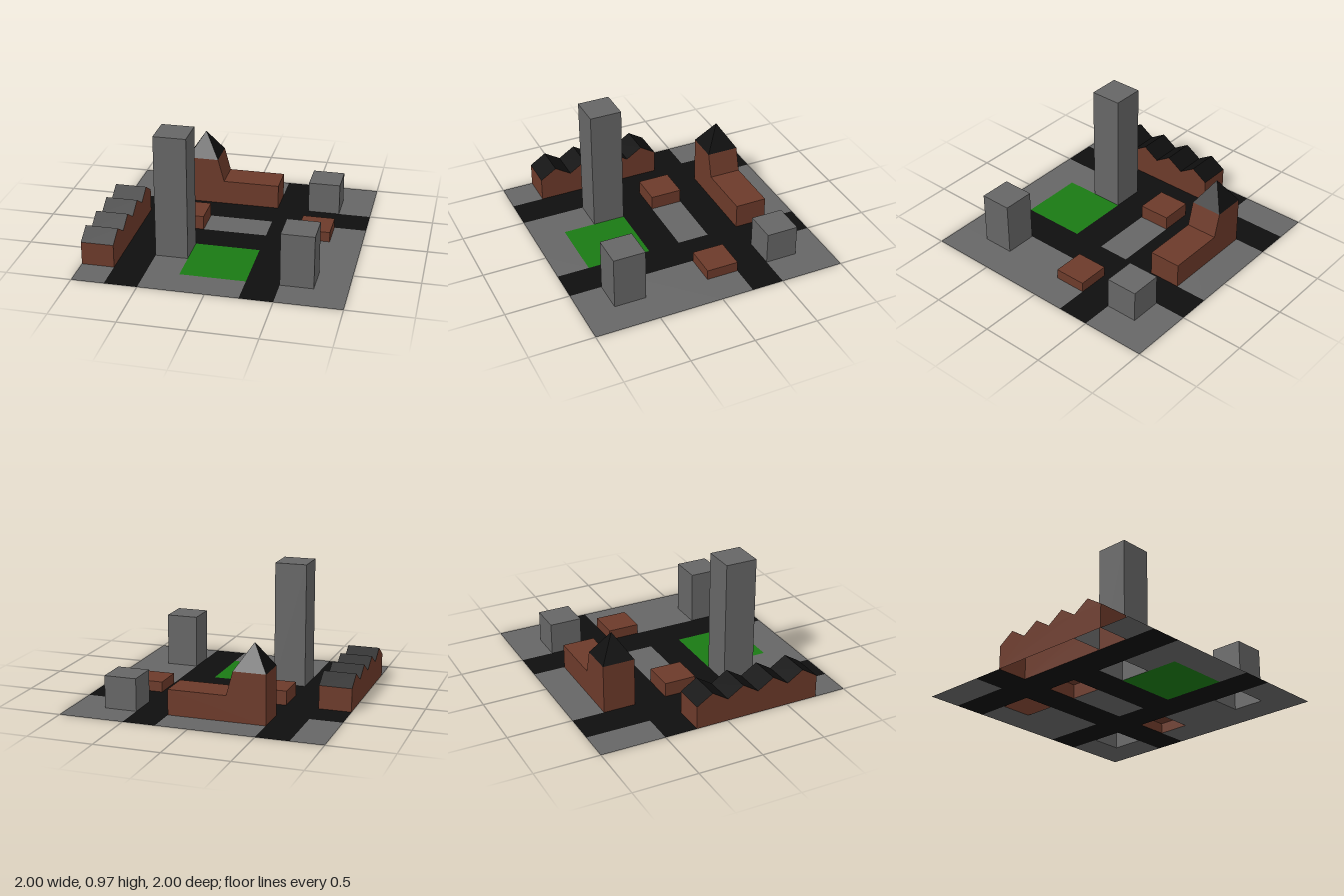
import * as THREE from 'three';
import { mergeGeometries } from 'three/addons/utils/BufferGeometryUtils.js';

const CELL = 0.25;
const mat = (color) => new THREE.MeshStandardMaterial({ color, flatShading: true, side: THREE.DoubleSide });
const grey = mat(0x666666);
const black = mat(0x0e0e0e);
const brown = mat(0x6c3a2a);
const green = mat(0x1a7a14);

// One letter per ground cell: P pavement, R road, G park, . open under a building
const PLAN = [
  'PRPPPRPP',
  'PR.PPR.P',
  'RRRRRRRR',
  '.R.PPR.P',
  '.RRRRRPP',
  '.R.GGRPP',
  '.RPGGR.P',
  'PRPPPRPP',
];

function ground(letter) {
  const tiles = [];
  PLAN.forEach((row, j) => [...row].forEach((c, i) => {
    if (c !== letter) return;
    tiles.push(new THREE.PlaneGeometry(CELL, CELL).rotateX(-Math.PI / 2)
      .translate(-1 + (i + 0.5) * CELL, 0, -1 + (j + 0.5) * CELL));
  }));
  return mergeGeometries(tiles);
}

// Keep only the triangles for which test(normal, midpoint) is true
function pick(geometry, test) {
  const source = geometry.index ? geometry.toNonIndexed() : geometry;
  const p = source.attributes.position;
  const kept = [];
  const tri = new THREE.Triangle();
  const n = new THREE.Vector3();
  const m = new THREE.Vector3();
  for (let i = 0; i < p.count; i += 3) {
    tri.setFromAttributeAndIndices(p, i, i + 1, i + 2);
    if (test(tri.getNormal(n), tri.getMidpoint(m))) {
      kept.push(...tri.a.toArray(), ...tri.b.toArray(), ...tri.c.toArray());
    }
  }
  const result = new THREE.BufferGeometry();
  result.setAttribute('position', new THREE.Float32BufferAttribute(kept, 3));
  result.computeVertexNormals();
  return result;
}

function extrude(points) {
  const shape = new THREE.Shape(points.map(([x, y]) => new THREE.Vector2(x, y)));
  return new THREE.ExtrudeGeometry(shape, { depth: CELL, bevelEnabled: false });
}

export function createModel() {
  const city = new THREE.Group();
  city.name = 'cityBlock';
  const add = (name, geometry, material, parent = city) => {
    const mesh = new THREE.Mesh(geometry, material);
    mesh.name = name;
    parent.add(mesh);
    return mesh;
  };

  // Ground
  add('pavement', ground('P'), grey);
  add('roads', ground('R'), black);
  add('park', ground('G'), green);

  // Flat-roofed buildings, open underneath: name, centre x, centre z, height, material
  const blocks = [
    ['highRise', -0.375, 0.375, 0.97, grey],
    ['frontBlock', 0.625, 0.625, 0.415, grey],
    ['backBlock', 0.625, -0.625, 0.25, grey],
    ['leftLowHouse', 0.625, -0.125, 0.08, brown],
    ['rightLowHouse', -0.375, -0.125, 0.11, brown],
  ];
  for (const [name, x, z, h, material] of blocks) {
    const box = new THREE.BoxGeometry(CELL, h, CELL).translate(x, h / 2, z);
    add(name, pick(box, (n) => n.y > -0.5), material);
  }

  // Row of four gabled houses along the right edge
  const row = new THREE.Group();
  row.name = 'rowHouses';
  city.add(row);
  const eaves = 0.18, ridge = 0.26, start = -0.25;
  const outline = [[start, 0], [start + 4 * CELL, 0], [start + 4 * CELL, eaves]];
  for (let i = 3; i >= 0; i--) {
    outline.push([start + (i + 0.5) * CELL, ridge], [start + i * CELL, eaves]);
  }
  const rowShape = extrude(outline).rotateY(-Math.PI / 2).translate(-0.75, 0, 0);
  add('houseWalls', pick(rowShape, (n) => Math.abs(n.y) < 0.01), brown, row);
  add('houseRoofs', pick(rowShape, (n) => n.y > 0.01), black, row);
  add('partyWall', new THREE.PlaneGeometry(CELL, eaves).translate(-0.875, eaves / 2, 0.5), grey, row);

  // Church: tower and nave in one body, pyramid roof on the tower
  const church = new THREE.Group();
  church.name = 'church';
  city.add(church);
  const towerTop = 0.38, naveTop = 0.195, apex = 0.575;
  const body = extrude([
    [-0.5, 0], [0.25, 0], [0.25, naveTop], [-0.2, naveTop], [-0.25, towerTop], [-0.5, towerTop],
  ]).translate(0, 0, -0.75);
  add('churchWalls', pick(body, (n, m) => Math.abs(n.y) < 0.9 || Math.abs(m.y - naveTop) < 0.01), brown, church);
  const spire = new THREE.ConeGeometry(CELL / Math.SQRT2, apex - towerTop, 4, 1, true)
    .rotateY(Math.PI / 4).translate(-0.375, (apex + towerTop) / 2, -0.625);
  add('churchSpire', spire, black, church);

  return city;
}
